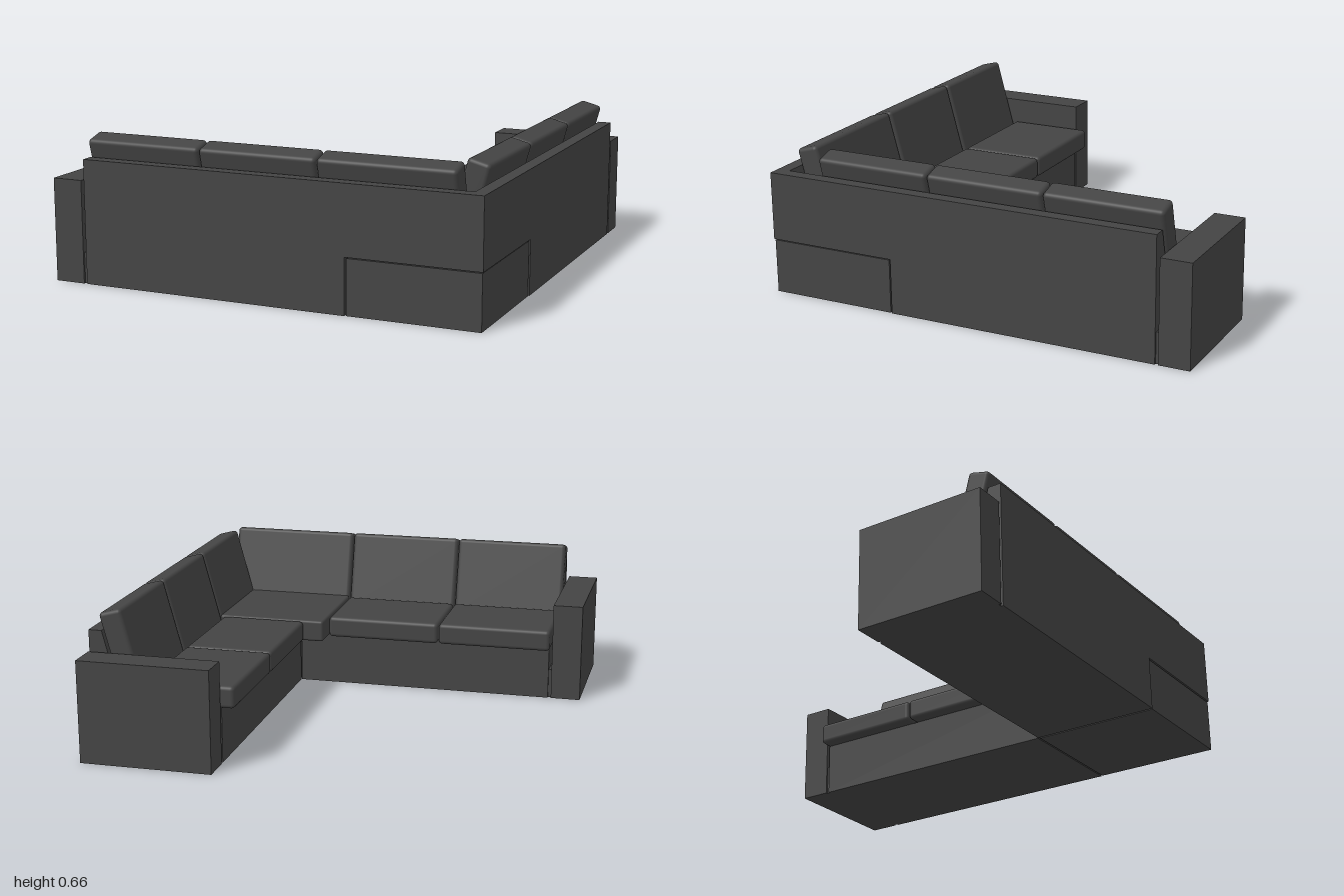
import * as THREE from 'three';
import { RoundedBoxGeometry } from 'three/addons/geometries/RoundedBoxGeometry.js';

const fabric = new THREE.MeshStandardMaterial({ color: 0x444444 });

function add(parent, name, geometry) {
  const mesh = new THREE.Mesh(geometry, fabric);
  mesh.name = name;
  parent.add(mesh);
  return mesh;
}

// Box given by its limits on each axis; a radius gives a rounded cushion.
function block(parent, name, [x0, x1], [y0, y1], [z0, z1], radius = 0) {
  const size = [Math.abs(x1 - x0), y1 - y0, z1 - z0];
  const geometry = radius
    ? new RoundedBoxGeometry(...size, 3, radius)
    : new THREE.BoxGeometry(...size);
  const mesh = add(parent, name, geometry);
  mesh.position.set((x0 + x1) / 2, (y0 + y1) / 2, (z0 + z1) / 2);
  return mesh;
}

// Backrest wall with a sloped inner face, mitred where the two wings meet.
function backrest(parent, dir) {
  const profile = new THREE.Shape(
    [[-1, 0.25], [-1, 0.56], [-0.94, 0.56], [-0.86, 0.25]].map(([x, y]) => new THREE.Vector2(x, y)));
  const geometry = new THREE.ExtrudeGeometry(profile, { depth: 1, bevelEnabled: false });
  geometry.rotateY(Math.PI / 2);
  const p = geometry.attributes.position;
  for (let i = 0; i < p.count; i++) {
    const atCorner = (p.getX(i) > 0.5) === (dir > 0);
    p.setX(i, dir * (atCorner ? p.getZ(i) : -0.845));
  }
  geometry.computeVertexNormals();
  add(parent, 'backrest', geometry);
}

// One wing runs along x with its back at z = 1; dir is the side of the corner.
function wing(name, dir, lastCushionEnd) {
  const group = new THREE.Group();
  group.name = name;
  const span = (a, b) => [dir * a, dir * b];

  block(group, 'seatBase', span(-0.845, 0.397), [0, 0.25], [0.4, 1]);
  block(group, 'armrest', span(-1, -0.86), [0, 0.465], [0.4, 1]);
  block(group, 'armJoint', span(-0.87, -0.84), [0, 0.14], [0.41, 0.99]);
  backrest(group, dir);

  for (const [a, b] of [[-0.853, -0.31], [-0.305, 0.24]])
    block(group, 'seatCushion', span(a, b), [0.25, 0.35], [0.34, 0.75], 0.018);

  // Back cushions lean against the sloped backrest
  for (const [a, b] of [[-0.853, -0.31], [-0.305, 0.24], [0.245, lastCushionEnd]]) {
    const cushion = block(group, 'backCushion', span(a, b), [0.277, 0.657], [0.7985, 0.9035], 0.018);
    cushion.rotation.x = 0.263;
  }
  return group;
}

export function createModel() {
  const sofa = new THREE.Group();
  sofa.name = 'cornerSofa';

  const frontWing = wing('frontWing', 1, 0.865);
  const sideWing = wing('sideWing', -1, 0.783);
  sideWing.rotation.y = Math.PI / 2;
  sofa.add(frontWing, sideWing);

  // Corner unit joining the wings
  block(sofa, 'cornerBase', [0.405, 0.996], [0, 0.245], [0.405, 0.996]);
  block(sofa, 'cornerCushion', [0.245, 0.77], [0.25, 0.352], [0.243, 0.77], 0.012);
  return sofa;
}
